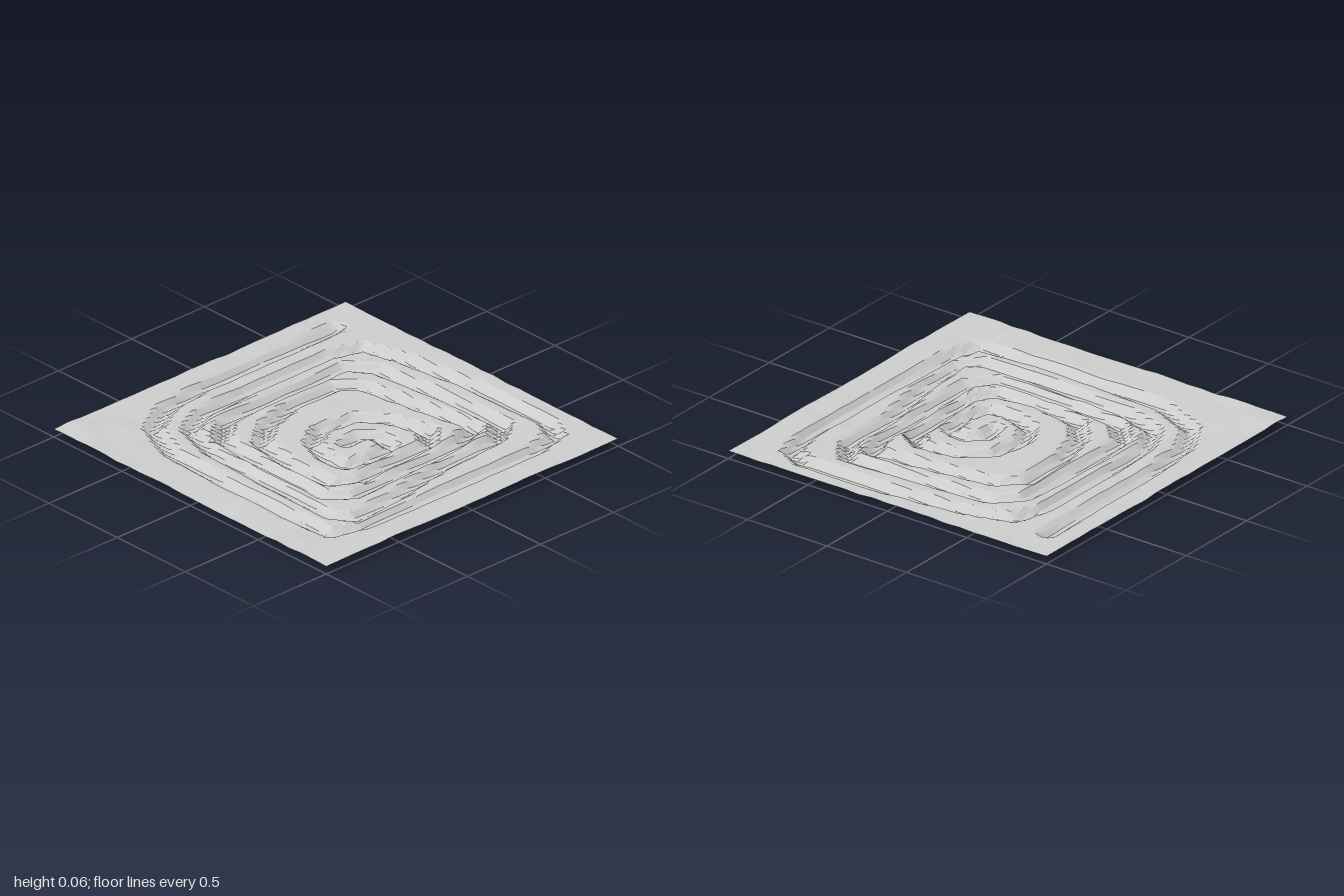
import * as THREE from 'three';

// Centre line of the spiral trench as [x, z], from the outside inwards
const PATH = [
  [-0.84, -0.78], [-0.83, -0.3], [-0.83, 0.1], [-0.79, 0.42], [-0.68, 0.62], [-0.42, 0.73], [0, 0.75], [0.45, 0.75], [0.74, 0.73],
  [0.79, 0.55], [0.8, 0], [0.8, -0.6], [0.75, -0.8], [0.62, -0.87], [0.1, -0.86], [-0.35, -0.81], [-0.6, -0.74],
  [-0.65, -0.55], [-0.65, 0], [-0.63, 0.32], [-0.54, 0.49], [-0.3, 0.57], [0.2, 0.59], [0.6, 0.6], [0.7, 0.52],
  [0.67, 0.2], [0.59, -0.2], [0.58, -0.55], [0.48, -0.69], [0, -0.67], [-0.38, -0.63],
  [-0.5, -0.52], [-0.51, 0], [-0.49, 0.3], [-0.36, 0.44], [0, 0.48], [0.42, 0.48], [0.52, 0.36],
  [0.5, 0], [0.48, -0.4], [0.42, -0.56], [0.1, -0.52], [-0.28, -0.46],
  [-0.39, -0.36], [-0.38, -0.05], [-0.31, 0.18], [-0.19, 0.33], [0.08, 0.38], [0.34, 0.36], [0.42, 0.22],
  [0.39, -0.05], [0.38, -0.28], [0.28, -0.36], [0.06, -0.31], [-0.07, -0.2], [-0.1, 0], [-0.02, 0.14], [0.14, 0.2],
  [0.26, 0.18], [0.3, 0.02], [0.27, -0.12], [0.16, -0.15], [0.08, -0.08], [0.1, 0.02],
];

const hash = (i, j) => {
  const s = Math.sin(i * 127.1 + j * 311.7 + 5.3) * 43758.5453;
  return s - Math.floor(s);
};

// Smooth value noise in -1..1
function noise(x, z) {
  const i = Math.floor(x), j = Math.floor(z);
  const u = THREE.MathUtils.smoothstep(x - i, 0, 1), v = THREE.MathUtils.smoothstep(z - j, 0, 1);
  const a = THREE.MathUtils.lerp(hash(i, j), hash(i + 1, j), u);
  const b = THREE.MathUtils.lerp(hash(i, j + 1), hash(i + 1, j + 1), u);
  return 2 * THREE.MathUtils.lerp(a, b, v) - 1;
}

// Distance from a point to the nearest stretch of the trench
function trenchDistance(x, z) {
  let best = Infinity;
  for (let k = 0; k < PATH.length - 1; k++) {
    const [ax, az] = PATH[k], [bx, bz] = PATH[k + 1];
    const dx = bx - ax, dz = bz - az;
    const t = THREE.MathUtils.clamp(((x - ax) * dx + (z - az) * dz) / (dx * dx + dz * dz), 0, 1);
    best = Math.min(best, Math.hypot(x - ax - t * dx, z - az - t * dz));
  }
  return best;
}

const mound = (x, z, cx, cz, r) => Math.exp(-((x - cx) ** 2 + (z - cz) ** 2) / (r * r));

function height(x, z) {
  // Rolling plateau with a few mounds, level at the outer corners
  const corner = Math.min(1, (2 - Math.abs(x) - Math.abs(z)) * 5);
  let top = 0.044 + corner * (0.005 * noise(x * 4, z * 4) + 0.003 * noise(x * 11 + 20, z * 11));
  top += 0.016 * mound(x, z, 0.38, -0.42, 0.12) + 0.012 * mound(x, z, -0.93, 0.88, 0.1);
  // Trench with sloping walls and an uneven floor
  const floor = 0.006 + 0.005 * noise(x * 7 + 40, z * 7);
  const wall = THREE.MathUtils.smoothstep(trenchDistance(x, z), 0.012, 0.058);
  return Math.max(0, THREE.MathUtils.lerp(floor, top, wall));
}

export function createModel() {
  const group = new THREE.Group();
  group.name = 'spiralCanyonTerrain';
  const stone = new THREE.MeshStandardMaterial({ color: 0xcccccc, flatShading: true, side: THREE.DoubleSide });
  stone.name = 'light grey stone';

  // Ground sheet raised and carved by the height rule
  const sheet = new THREE.PlaneGeometry(2, 2, 80, 80).rotateX(-Math.PI / 2);
  const p = sheet.attributes.position;
  for (let i = 0; i < p.count; i++) p.setY(i, height(p.getX(i), p.getZ(i)));
  sheet.computeVertexNormals();

  const terrain = new THREE.Mesh(sheet, stone);
  terrain.name = 'terrain';
  group.add(terrain);
  return group;
}
